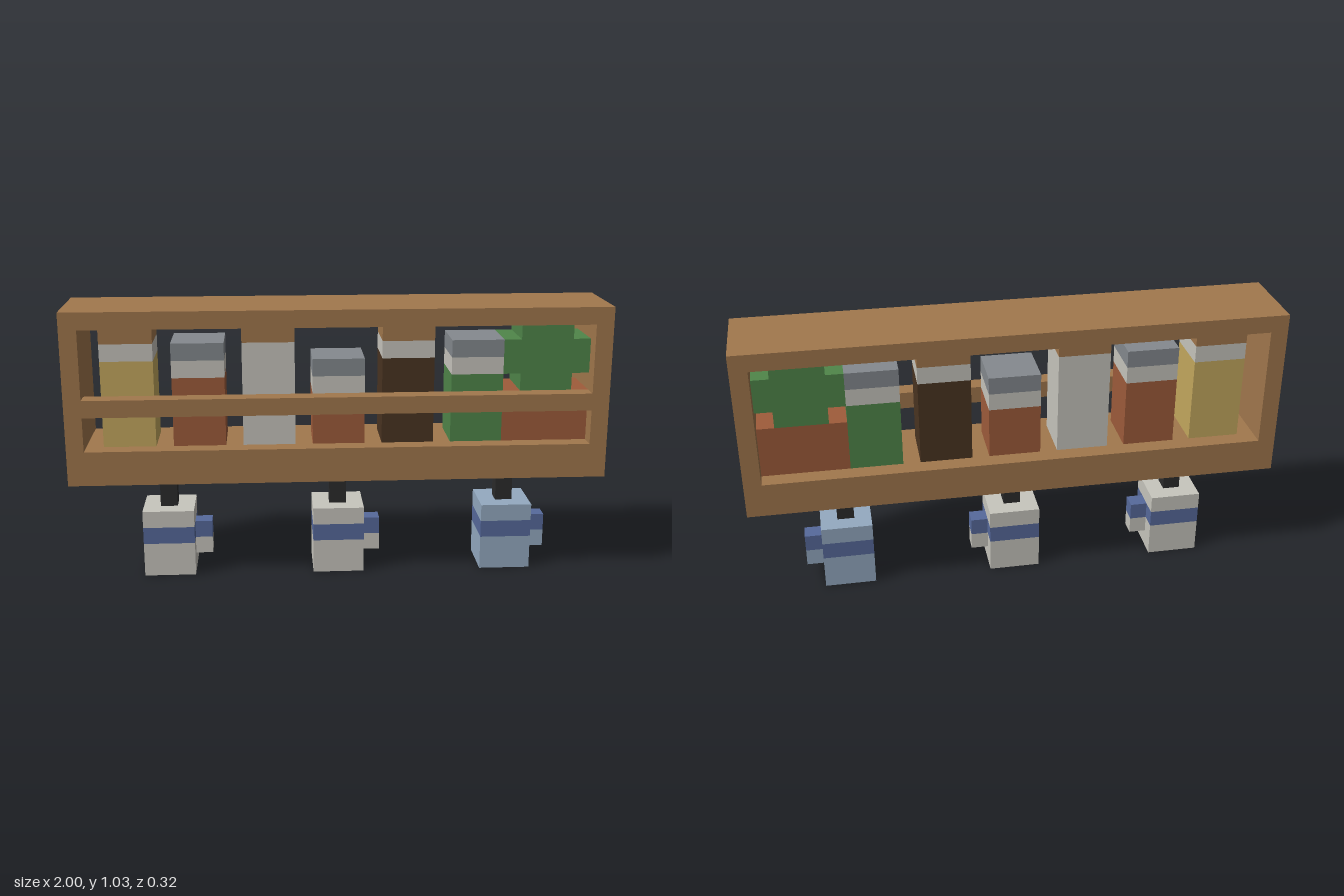
import * as THREE from 'three';

// One block of the grid; the shelf is 31 blocks wide.
const U = 2 / 31;

const mat = (name, color) => {
  const m = new THREE.MeshStandardMaterial({ color });
  m.name = name;
  return m;
};

export function createModel() {
  const wood = mat('wood', 0xa2784d);
  const cream = mat('cream', 0xc8c6be);
  const grey = mat('grey lid', 0x858a8f);
  const rust = mat('terracotta', 0x9f5c3b);
  const mustard = mat('mustard', 0xc5a95f);
  const cocoa = mat('dark cocoa', 0x4a3421);
  const green = mat('leaf green', 0x50864a);
  const iron = mat('black iron', 0x2c2c2c);
  const navy = mat('stripe blue', 0x576a9c);
  const sky = mat('pale blue', 0x94aac1);

  const group = (parent, name) => {
    const g = new THREE.Group();
    g.name = name;
    parent.add(g);
    return g;
  };

  // Box from grid ranges: x from the right end, y from the ground, depth centred on z.
  const block = (parent, name, material, x0, x1, y0, y1, depth, z = 0) => {
    const geo = new THREE.BoxGeometry((x1 - x0) * U, (y1 - y0) * U, depth * U);
    const mesh = new THREE.Mesh(geo, material);
    mesh.name = name;
    mesh.position.set(((x0 + x1) / 2 - 15.5) * U, ((y0 + y1) / 2) * U, z * U);
    parent.add(mesh);
  };

  const model = new THREE.Group();
  model.name = 'kitchenShelf';

  // Shelf frame, open at front and back
  const rect = (path, x0, x1, y0, y1) => {
    path.moveTo(x0 * U, y0 * U);
    path.lineTo(x1 * U, y0 * U);
    path.lineTo(x1 * U, y1 * U);
    path.lineTo(x0 * U, y1 * U);
    path.closePath();
    return path;
  };
  const outline = rect(new THREE.Shape(), -15.5, 15.5, 6, 16);
  outline.holes.push(rect(new THREE.Path(), -14.5, 14.5, 8, 15));
  const frameGeo = new THREE.ExtrudeGeometry(outline, { depth: 5 * U, bevelEnabled: false });
  frameGeo.translate(0, 0, -2.5 * U);
  const frame = new THREE.Mesh(frameGeo, wood);
  frame.name = 'shelfFrame';
  model.add(frame);
  block(model, 'frontRail', wood, 1, 30, 10, 11, 1, 2);

  // Jars: body colour, top of body, top of cream band, lid colour
  const jars = [
    [mustard, 13, 14, wood],
    [rust, 12, 13, grey],
    [cream, 13, 14, wood],
    [rust, 11, 12, grey],
    [cocoa, 13, 14, wood],
    [green, 12, 13, grey],
  ];
  jars.forEach(([body, fill, neck, lid], i) => {
    const jar = group(model, `jar${i + 1}`);
    const x = 2 + i * 4;
    block(jar, 'jarContents', body, x, x + 3, 8, fill, 3);
    block(jar, 'jarNeck', cream, x, x + 3, fill, neck, 3);
    block(jar, 'jarLid', lid, x, x + 3, neck, neck + 1, 3);
  });

  // Potted plant
  const plant = group(model, 'pottedPlant');
  block(plant, 'pot', rust, 25, 30, 8, 11, 3);
  block(plant, 'leavesCentre', green, 26, 29, 11, 15, 3);
  block(plant, 'leavesRight', green, 25, 26, 12, 14, 3);
  block(plant, 'leavesLeft', green, 29, 30, 12, 14, 3);

  // Mugs hanging from hooks
  [[4, cream], [14, cream], [24, sky]].forEach(([x, glaze], i) => {
    const mug = group(model, `hangingMug${i + 1}`);
    block(mug, 'hook', iron, x + 1, x + 2, 4, 6, 1);
    block(mug, 'mugBase', glaze, x, x + 3, 0, 2, 3);
    block(mug, 'mugStripe', navy, x, x + 3, 2, 3, 3);
    block(mug, 'mugRim', glaze, x, x + 3, 3, 4, 3);
    block(mug, 'handle', glaze, x + 3, x + 4, 1, 2, 1);
    block(mug, 'handleStripe', navy, x + 3, x + 4, 2, 3, 1);
  });

  return model;
}
